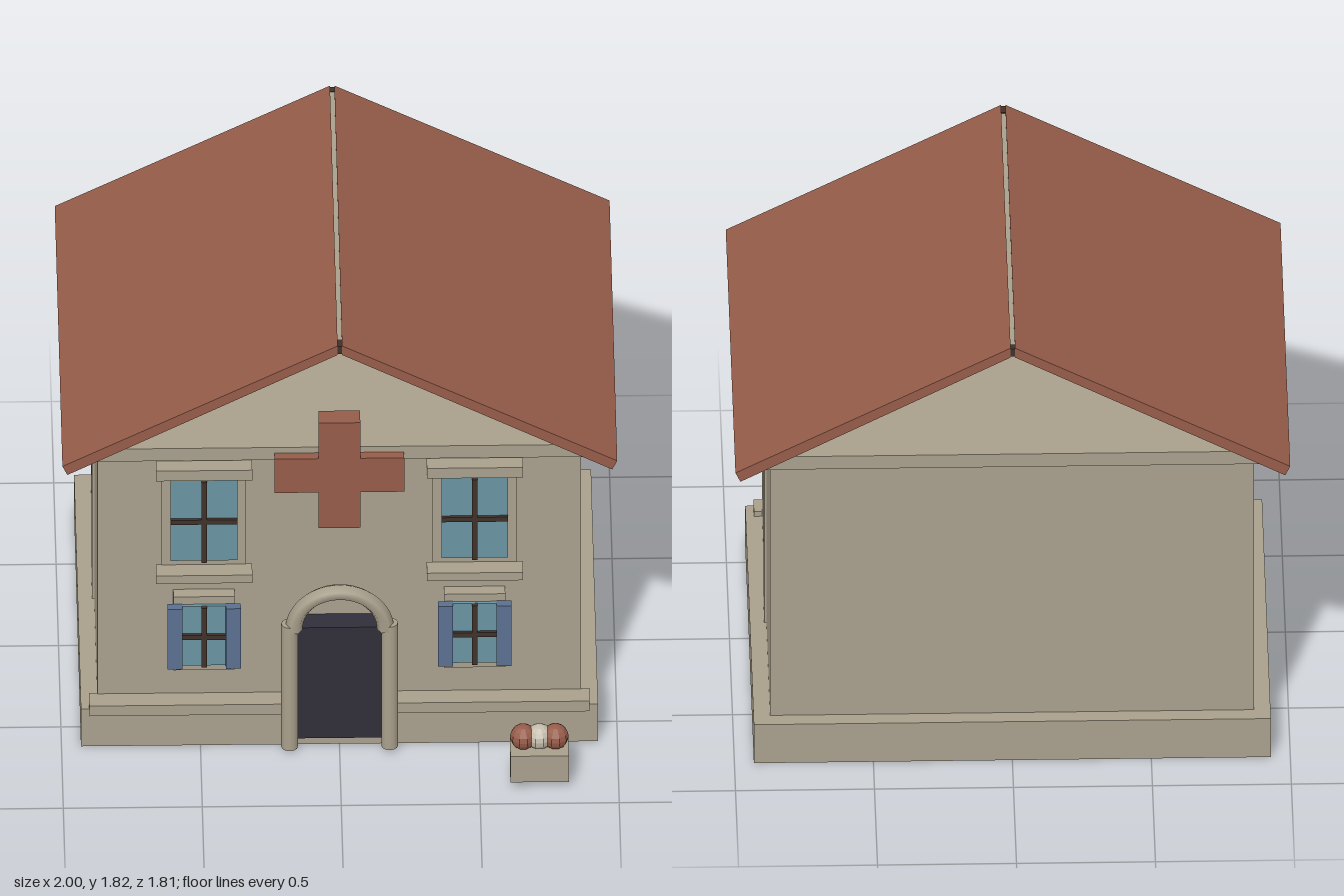
import * as THREE from 'three';

const mat = (name, color, flatShading = false) => {
  const m = new THREE.MeshStandardMaterial({ color, flatShading });
  m.name = name;
  return m;
};

export function createModel() {
  const stone = mat('stone', 0xa9a08c);
  const brick = mat('brick red', 0x965c4a, true);
  const glass = mat('window glass', 0x6a95a2);
  const blue = mat('shutter blue', 0x5b7090);
  const dark = mat('door dark', 0x302f3a);
  const wood = mat('dark wood', 0x40312a);
  const cream = mat('cream', 0xc6beae, true);

  const model = new THREE.Group();
  model.name = 'house';

  const add = (name, geometry, material, parent = model) => {
    const mesh = new THREE.Mesh(geometry, material);
    mesh.name = name;
    parent.add(mesh);
    return mesh;
  };
  // Box given by its limits on each axis
  const box = (name, material, [x0, x1], [y0, y1], [z0, z1], parent = model) => {
    const mesh = add(name, new THREE.BoxGeometry(x1 - x0, y1 - y0, z1 - z0), material, parent);
    mesh.position.set((x0 + x1) / 2, (y0 + y1) / 2, (z0 + z1) / 2);
    return mesh;
  };

  // Walls, plinth and cornice
  box('plinth', stone, [-0.93, 0.93], [0, 0.165], [-0.82, 0.62]);
  box('walls', stone, [-0.87, 0.87], [0.165, 1.24], [-0.76, 0.555]);
  box('cornice', stone, [-0.91, 0.91], [1.24, 1.295], [-0.79, 0.59]);
  box('frontLedge', stone, [-0.9, 0.9], [0.14, 0.185], [0.55, 0.63]);
  for (const s of [-1, 1]) {
    box('sidePilaster', stone, [s * 0.87 - 0.008, s * 0.87 + 0.008], [0.165, 1.24], [-0.15, -0.06]);
  }

  // Two sloping roof slabs, open at the gables
  for (const s of [-1, 1]) {
    const outline = new THREE.Shape(
      [[0.008, 1.822], [0.998, 1.3], [0.98, 1.262], [0.008, 1.782]].map(([x, y]) => new THREE.Vector2(s * x, y))
    );
    const slab = add('roofSlab', new THREE.ExtrudeGeometry(outline, { depth: 1.6, bevelEnabled: false }), brick);
    slab.position.z = -0.9;
  }
  // Thin strip in the ridge joint with a cap at each end
  box('ridgeStrip', stone, [-0.009, 0.009], [1.785, 1.815], [-0.87, 0.655]);
  box('ridgeCap', wood, [-0.009, 0.009], [1.785, 1.818], [0.655, 0.698]);
  box('ridgeCap', wood, [-0.009, 0.009], [1.785, 1.818], [-0.898, -0.87]);

  // Red cross above the door
  const cross = new THREE.Shape();
  const a = 0.075, b = 0.233;
  [[-a, -b], [a, -b], [a, -a], [b, -a], [b, a], [a, a], [a, b], [-a, b], [-a, a], [-b, a], [-b, -a], [-a, -a]]
    .forEach(([x, y], i) => (i ? cross.lineTo(x, y) : cross.moveTo(x, y)));
  const crossMesh = add('frontCross', new THREE.ExtrudeGeometry(cross, { depth: 0.075, bevelEnabled: false }), brick);
  crossMesh.position.set(0, 1.195, 0.552);

  // Windows, one column on each side of the door
  const makeWindow = (name, x, frame, pane) => {
    const g = new THREE.Group();
    g.name = name;
    g.position.x = x;
    model.add(g);
    const [fw, f0, f1] = frame, [pw, p0, p1] = pane, mid = (p0 + p1) / 2;
    box('windowFrame', stone, [-fw, fw], [f0, f1], [0.553, 0.602], g);
    box('windowPane', glass, [-pw, pw], [p0, p1], [0.602, 0.615], g);
    box('verticalBar', wood, [-0.01, 0.01], [p0, p1], [0.61, 0.629], g);
    box('crossBar', wood, [-pw, pw], [mid - 0.01, mid + 0.01], [0.61, 0.627], g);
    return g;
  };
  for (const s of [-1, 1]) {
    const upper = makeWindow('upperWindow', s * 0.487, [0.152, 0.78, 1.2], [0.12, 0.815, 1.17]);
    box('lintel', stone, [-0.173, 0.173], [1.19, 1.235], [0.58, 0.645], upper);
    box('sill', stone, [-0.173, 0.173], [0.753, 0.788], [0.6, 0.67], upper);

    const lower = makeWindow('lowerWindow', s * 0.487, [0.11, 0.32, 0.645], [0.088, 0.35, 0.612]);
    for (const t of [-1, 1]) {
      box('shutter', blue, [t * 0.105 - 0.027, t * 0.105 + 0.027], [0.348, 0.614], [0.602, 0.635], lower);
    }
  }

  // Door with round posts and an arch
  box('door', dark, [-0.152, 0.152], [0.04, 0.53], [0.55, 0.64]);
  for (const s of [-1, 1]) {
    const post = add('doorPost', new THREE.CylinderGeometry(0.03, 0.03, 0.545, 12), stone);
    post.position.set(s * 0.18, 0.288, 0.655);
  }
  const arch = add('doorArch', new THREE.TorusGeometry(0.165, 0.031, 6, 24, Math.PI), stone);
  arch.position.set(0, 0.534, 0.657);

  // Small stand in front with a row of balls
  box('stand', stone, [0.61, 0.82], [0.03, 0.145], [0.79, 0.91]);
  [0.657, 0.715, 0.773].forEach((x, i) => {
    const ball = add('ball', new THREE.SphereGeometry(0.048, 10, 8), i === 1 ? cream : brick);
    ball.position.set(x, 0.19, 0.85);
  });

  return model;
}
